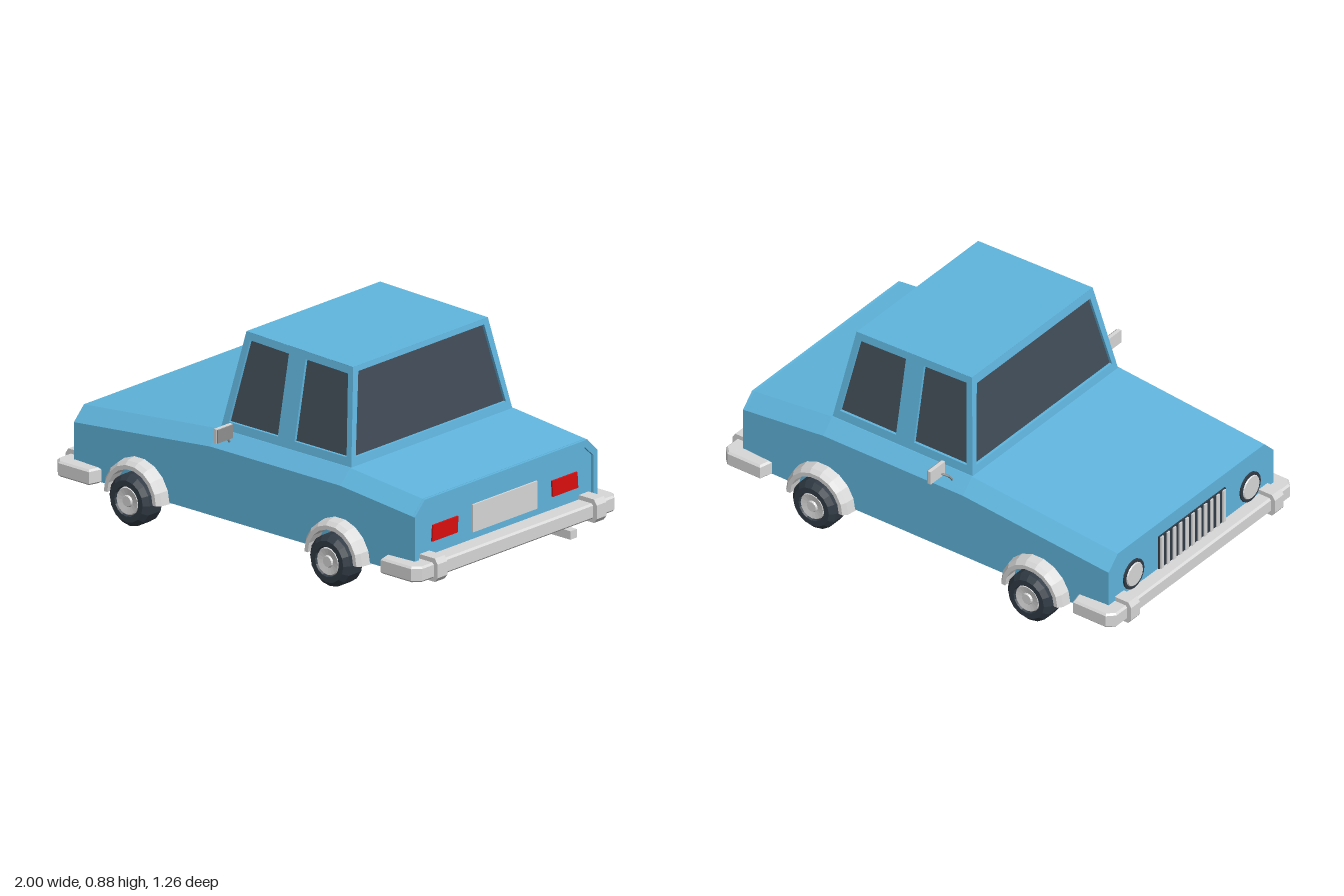
import * as THREE from 'three';

const mat = (name, color, side = THREE.FrontSide) => {
  const m = new THREE.MeshStandardMaterial({ color, side });
  m.name = name;
  return m;
};

// Faceted normals for the low-poly look
const flat = (geo) => {
  const g = geo.index ? geo.toNonIndexed() : geo;
  g.computeVertexNormals();
  return g;
};

const shapeOf = (pts, holes = []) => {
  const s = new THREE.Shape(pts.map((p) => new THREE.Vector2(...p)));
  for (const h of holes) s.holes.push(new THREE.Path(h.map((p) => new THREE.Vector2(...p))));
  return s;
};

const extrude = (shape, depth) =>
  new THREE.ExtrudeGeometry(shape, { depth, bevelEnabled: false, curveSegments: 8 });

// Closed loft through equal-length, convex loops of [x, y, z], ordered along +x
const loft = (loops) => {
  const n = loops[0].length, idx = [];
  for (let i = 0; i < loops.length - 1; i++)
    for (let j = 0; j < n; j++) {
      const a = i * n + j, b = i * n + ((j + 1) % n);
      idx.push(a, a + n, b, b, a + n, b + n);
    }
  const end = (loops.length - 1) * n;
  for (let j = 1; j < n - 1; j++) idx.push(0, j, j + 1, end, end + j + 1, end + j);
  const g = new THREE.BufferGeometry();
  g.setAttribute('position', new THREE.Float32BufferAttribute(loops.flat(2), 3));
  g.setIndex(idx);
  return g;
};

export function createModel() {
  const blue = mat('body blue', 0x60b5de);
  const glass = mat('window glass', 0x414c57);
  const rubber = mat('tyre rubber', 0x313b45);
  const trim = mat('light grey trim', 0xd8d8d8, THREE.DoubleSide);
  const grey = mat('mirror grey', 0x909090);
  const red = mat('tail light red', 0xdd0f0f);

  const car = new THREE.Group();
  car.name = 'car';
  const add = (name, geo, material, x = 0, y = 0, z = 0, parent = car) => {
    const m = new THREE.Mesh(flat(geo), material);
    m.name = name;
    m.position.set(x, y, z);
    parent.add(m);
    return m;
  };
  const box = (name, material, w, h, d, x, y, z, parent) =>
    add(name, new THREE.BoxGeometry(w, h, d), material, x, y, z, parent);

  // Lower body: bonnet, waist and boot sections, nose at -x
  const section = (x, waist, top) => [
    [x, 0.12, -0.545], [x, 0.12, 0.545], [x, waist, 0.545],
    [x, top, 0.485], [x, top, -0.485], [x, waist, -0.545],
  ];
  add('body', loft([
    section(-0.918, 0.34, 0.4), section(-0.187, 0.41, 0.47),
    section(0.513, 0.41, 0.47), section(0.903, 0.371, 0.431),
  ]), blue);

  // Raised rim around the tail panel
  const rim = shapeOf(
    [[-0.545, 0.12], [0.545, 0.12], [0.545, 0.37], [0.485, 0.43], [-0.485, 0.43], [-0.545, 0.37]],
    [[[-0.52, 0.13], [0.52, 0.13], [0.52, 0.355], [0.47, 0.4], [-0.47, 0.4], [-0.52, 0.355]]]);
  add('tailRim', extrude(rim, 0.012).rotateY(Math.PI / 2), blue, 0.903);

  // Cabin walls: flat panels sheared so that they lean inwards
  const sideZ = (y) => 0.48 - (y - 0.47) * 0.2;
  const frontX = (y) => -0.187 + (y - 0.47) * 0.16;
  const rearX = (y) => 0.515 - (y - 0.47) * 0.155;
  const lean = (shape, depth, axis, sign, at, inset = 0) => {
    const g = extrude(shape, depth);
    if (sign > 0) g.translate(0, 0, -depth);
    if (axis === 'x') g.rotateY(Math.PI / 2);
    const p = g.attributes.position, k = axis === 'x' ? 0 : 2;
    for (let i = 0; i < p.count; i++)
      p.setComponent(i, k, p.getComponent(i, k) + at(p.getY(i)) - sign * inset);
    return g;
  };
  const wall = (name, outline, windows, axis, sign, at) => {
    add(name + 'Frame', lean(shapeOf(outline, windows), 0.025, axis, sign, at), blue);
    for (const w of windows)
      add(name + 'Window', lean(shapeOf(w), 0.006, axis, sign, at, 0.012), glass);
  };
  const sideOutline = [[-0.187, 0.47], [0.515, 0.47], [rearX(0.86), 0.86], [frontX(0.875), 0.875]];
  const sideWindows = [
    [[-0.15, 0.505], [0.113, 0.505], [0.113, 0.838], [-0.098, 0.845]],
    [[0.203, 0.505], [0.483, 0.505], [0.432, 0.83], [0.203, 0.836]],
  ];
  for (const s of [1, -1])
    wall('cabinSide', sideOutline, sideWindows, 'z', s, (y) => s * sideZ(y));
  const endOutline = (top) =>
    [[-0.48, 0.47], [0.48, 0.47], [sideZ(top), top], [-sideZ(top), top]];
  const endWindow = [[-0.448, 0.505], [0.448, 0.505], [0.375, 0.838], [-0.375, 0.838]];
  wall('windscreen', endOutline(0.875), [endWindow], 'x', -1, frontX);
  wall('rearScreen', endOutline(0.86), [endWindow], 'x', 1, rearX);

  // Roof, sloping slightly to the rear
  const roofSection = (x, y) => {
    const z = sideZ(y);
    return [[x, y - 0.018, -z], [x, y - 0.018, z], [x, y, z], [x, y, -z]];
  };
  add('roof', loft([roofSection(frontX(0.875), 0.876), roofSection(rearX(0.86), 0.861)]), blue);

  // Wheels with hubcaps, and flared arches
  const v2 = (pts) => pts.map((p) => new THREE.Vector2(...p));
  const tyreProfile = v2([[0, -0.057], [0.088, -0.057], [0.108, -0.037], [0.108, 0.037],
    [0.088, 0.057], [0.064, 0.057], [0.06, 0.045], [0, 0.045]]);
  const hubProfile = v2([[0.062, 0.04], [0.056, 0.053], [0.026, 0.048], [0.022, 0.056], [0, 0.056]]);
  const archProfile = v2([[0.163, -0.01], [0.155, 0.04], [0.14, 0.058], [0.122, 0.058], [0.122, -0.01]]);
  for (const x of [-0.565, 0.513])
    for (const s of [1, -1]) {
      const wheel = new THREE.Group();
      wheel.name = 'wheel';
      wheel.position.set(x, 0.108, s * 0.567);
      if (s < 0) wheel.rotation.y = Math.PI;
      car.add(wheel);
      add('tyre', new THREE.LatheGeometry(tyreProfile, 16).rotateX(Math.PI / 2), rubber, 0, 0, 0, wheel);
      add('hubcap', new THREE.LatheGeometry(hubProfile, 16).rotateX(Math.PI / 2), trim, 0, 0, 0, wheel);
      add('wheelArch', new THREE.LatheGeometry(archProfile, 9, Math.PI / 2, Math.PI).rotateX(Math.PI / 2),
        trim, 0, 0.006, -0.022, wheel);
    }

  // Wrap-around bumpers with overriders
  const bar = shapeOf([[0.778, 0.553], [0.79, 0.597], [0.945, 0.597], [0.972, 0.57],
    [0.972, -0.57], [0.945, -0.597], [0.79, -0.597], [0.778, -0.553], [0.9, -0.545], [0.9, 0.545]]);
  const overrider = shapeOf([[0.9, 0.103], [0.985, 0.103], [1, 0.122], [1, 0.18], [0.985, 0.202], [0.9, 0.202]]);
  for (const turn of [0, Math.PI]) {
    const bumper = new THREE.Group();
    bumper.name = turn ? 'frontBumper' : 'rearBumper';
    bumper.rotation.y = turn;
    car.add(bumper);
    const barGeo = new THREE.ExtrudeGeometry(bar,
      { depth: 0.05, bevelSize: 0.008, bevelThickness: 0.008, bevelSegments: 1 });
    add('bumperBar', barGeo.rotateX(Math.PI / 2), trim, 0, 0.175, 0, bumper);
    for (const z of [-0.475, 0.475])
      add('overrider', extrude(overrider, 0.058), trim, 0, 0, z - 0.029, bumper);
  }

  // Tail lights and blank plate
  box('numberPlate', trim, 0.008, 0.117, 0.385, 0.907, 0.272, 0);
  for (const s of [1, -1]) {
    const lamp = shapeOf([[0.285, 0.238], [0.435, 0.238], [0.43, 0.306], [0.28, 0.306]].map(([z, y]) => [s * z, y]));
    add('tailLight', extrude(lamp, 0.008).rotateY(Math.PI / 2), red, 0.903);
  }

  // Grille with upright bars, and round headlights
  box('grilleBack', rubber, 0.008, 0.175, 0.44, -0.921, 0.25, 0);
  for (let i = 0; i < 11; i++)
    box('grilleBar', trim, 0.012, 0.17, 0.018, -0.925, 0.25, -0.205 + i * 0.041);
  for (const z of [-0.385, 0.385]) {
    add('headlightRing', new THREE.CylinderGeometry(0.066, 0.066, 0.012, 16).rotateZ(Math.PI / 2), rubber, -0.92, 0.25, z);
    add('headlight', new THREE.CylinderGeometry(0.058, 0.05, 0.012, 16).rotateZ(-Math.PI / 2), trim, -0.925, 0.25, z);
  }

  // Door mirrors on thin stalks
  for (const s of [1, -1]) {
    box('mirrorShell', trim, 0.016, 0.06, 0.096, -0.082, 0.5, s * 0.582);
    box('mirrorGlass', grey, 0.006, 0.056, 0.09, -0.072, 0.5, s * 0.582);
    const stalk = new THREE.CatmullRomCurve3([[-0.11, 0.435, 0.51], [-0.107, 0.465, 0.532], [-0.085, 0.485, 0.56]]
      .map(([x, y, z]) => new THREE.Vector3(x, y, s * z)));
    add('mirrorStalk', new THREE.TubeGeometry(stalk, 4, 0.005, 5), grey);
  }

  // Exhaust pipe
  const pipe = shapeOf([[0.69, 0.122], [0.74, 0.073], [0.77, 0.066], [0.98, 0.066], [0.98, 0.102], [0.79, 0.104], [0.76, 0.122]]);
  add('exhaust', extrude(pipe, 0.038), trim, 0, 0, -0.349);

  return car;
}
